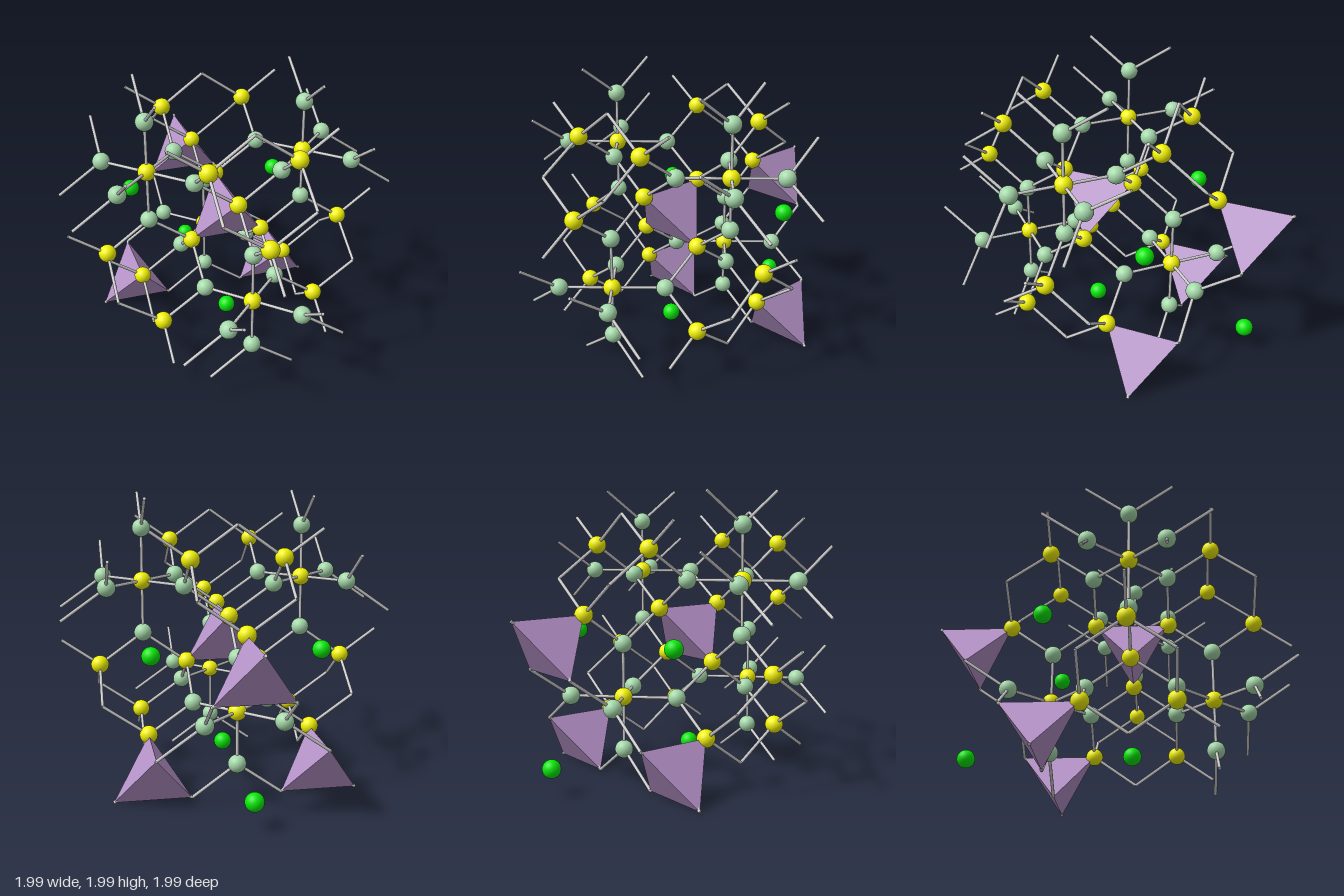
import * as THREE from 'three';

const CELL = 1.606;          // edge of the repeating cube
const H = CELL / 2, Q = CELL / 4;
const CORNER = 0.185;        // tetrahedron centre to corner, per axis
const ARM = 0.3665;          // hub atom to the six atoms around it
const BALL_R = 0.0625, STICK_R = 0.011, MAX_BOND = 0.4;

const V = (x, y, z) => new THREE.Vector3(x, y, z);
const mat = (color, flatShading = false) => new THREE.MeshStandardMaterial({ color, flatShading });

// bring a point back into the cell, [-H, H) on each axis
const wrap = (p) => {
  const w = (v) => v - CELL * Math.floor((v + H + 1e-4) / CELL);
  return V(w(p.x), w(p.y), w(p.z));
};

export function createModel() {
  const model = new THREE.Group();
  const lattice = new THREE.Group();
  lattice.name = 'crystalLattice';
  lattice.position.y = 1;
  model.add(lattice);

  // face-centred sites
  const greenSites = [V(-H, -H, -H), V(0, 0, -H), V(-H, 0, 0), V(0, -H, 0)];
  const tetraSites = [V(-H, 0, -H), V(0, -H, -H), V(-H, -H, 0), V(0, 0, 0)];
  const hubSites = [V(Q, Q, -Q), V(-Q, Q, Q), V(Q, -Q, Q), V(-Q, -Q, -Q)];
  const tetraCorners = [V(1, 1, 1), V(-1, -1, 1), V(-1, 1, -1), V(1, -1, -1)];
  const axes = [V(1, 0, 0), V(-1, 0, 0), V(0, 1, 0), V(0, -1, 0), V(0, 0, 1), V(0, 0, -1)];

  const around = (sites, dirs, dist) =>
    sites.flatMap((s) => dirs.map((d) => wrap(s.clone().addScaledVector(d, dist))));
  const yellowSites = [...around(tetraSites, tetraCorners, CORNER), ...hubSites];
  const paleSites = around(hubSites, axes, ARM);

  const place = (parent, name, geometry, material, p) => {
    const mesh = new THREE.Mesh(geometry, material);
    mesh.name = name;
    mesh.position.copy(p);
    parent.add(mesh);
    return mesh;
  };
  const section = (name) => {
    const g = new THREE.Group();
    g.name = name;
    lattice.add(g);
    return g;
  };

  // atoms
  const ball = new THREE.SphereGeometry(BALL_R, 24, 16);
  const addBalls = (name, sites, color) => {
    const g = section(name + 's');
    const m = mat(color);
    sites.forEach((p) => place(g, name, ball, m, p));
  };
  addBalls('yellowAtom', yellowSites, 0xf2f205);
  addBalls('paleGreenAtom', paleSites, 0xa6d9ab);
  addBalls('brightGreenAtom', greenSites, 0x08e608);

  // solid tetrahedra
  const tetra = new THREE.TetrahedronGeometry(CORNER * Math.sqrt(3));
  const tetraMat = mat(0xb592c8, true);
  const tetras = section('tetrahedra');
  tetraSites.forEach((p) => place(tetras, 'tetrahedron', tetra, tetraMat, p));

  // bonds from each atom to close neighbours, including those in adjoining cells
  const bonds = section('bonds');
  const bondMat = mat(0xcccccc);
  const rod = new THREE.CylinderGeometry(STICK_R, STICK_R, 1, 10);
  const up = V(0, 1, 0);
  const atoms = [...yellowSites, ...paleSites, ...tetraSites];
  const seen = new Set();
  const steps = [-CELL, 0, CELL];
  for (const a of atoms) for (const b of atoms)
    for (const i of steps) for (const j of steps) for (const k of steps) {
      const end = V(b.x + i, b.y + j, b.z + k);
      const length = a.distanceTo(end);
      if (length < 0.01 || length > MAX_BOND) continue;
      const mid = a.clone().add(end).multiplyScalar(0.5);
      const key = mid.toArray().map((v) => Math.round(v * 500)).join();
      if (seen.has(key)) continue;
      seen.add(key);
      const bond = place(bonds, 'bond', rod, bondMat, mid);
      bond.scale.y = length;
      bond.quaternion.setFromUnitVectors(up, end.sub(a).normalize());
    }

  return model;
}
